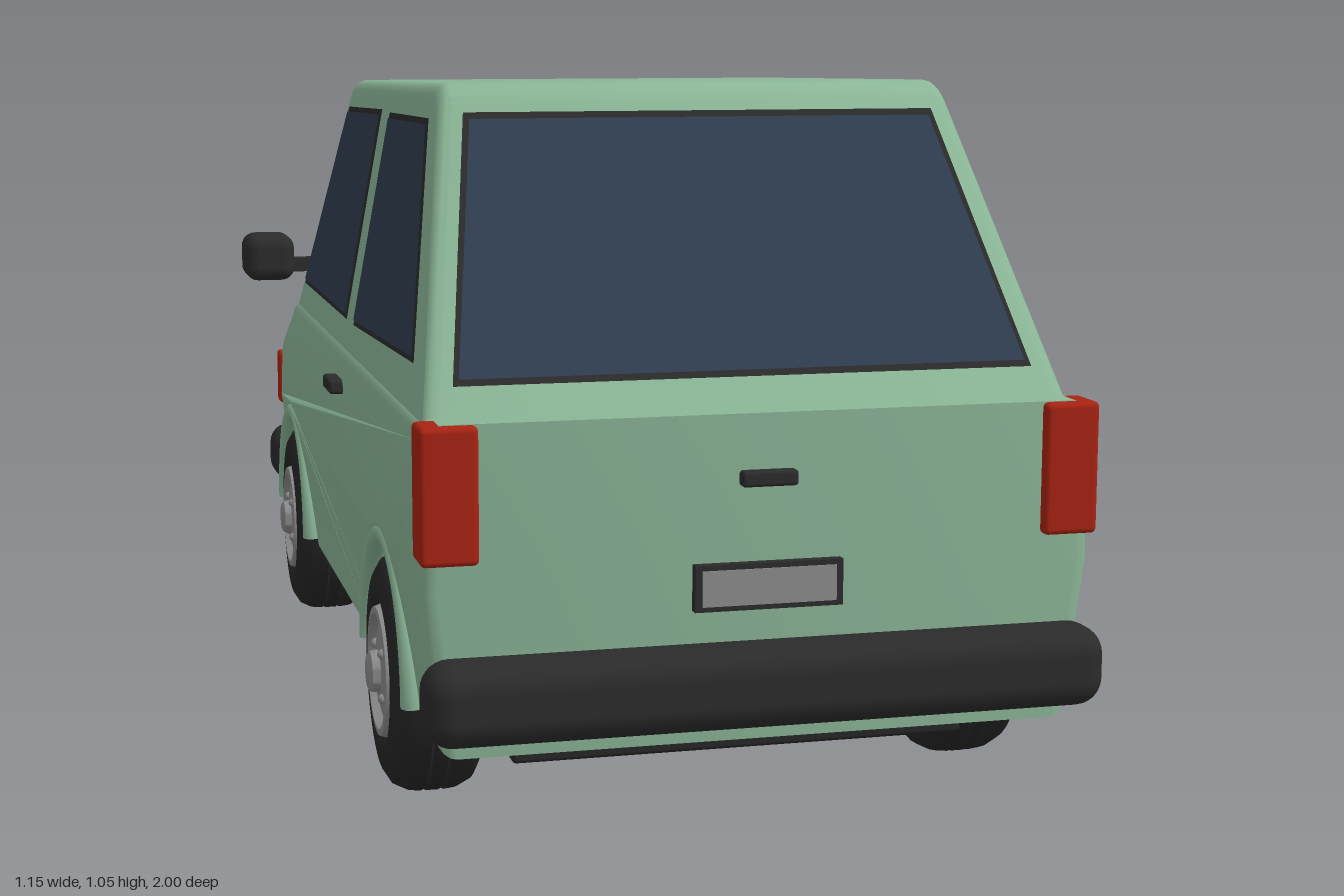
import * as THREE from 'three';
import { toCreasedNormals } from 'three/addons/utils/BufferGeometryUtils.js';
import { RoundedBoxGeometry } from 'three/addons/geometries/RoundedBoxGeometry.js';

const material = (name, color, side = THREE.FrontSide) =>
  Object.assign(new THREE.MeshStandardMaterial({ color, side }), { name });

const WHEEL_Z = [0.555, -0.61];
const WHEEL_Y = 0.18;
const ARCH_R = 0.2;
const lerp = THREE.MathUtils.lerp;

// Half widths of the cabin and the lower body
const cabinWidth = (y) => 0.465 - 0.18 * (y - 0.61);
const bodyWidth = (y, z) => {
  const w = y > 0.38 ? lerp(0.482, 0.473, (y - 0.38) / 0.23) : lerp(0.455, 0.482, (y - 0.15) / 0.23);
  return w * (z < -0.57 ? lerp(1, 0.965, (-0.57 - z) / 0.35) : 1);
};
// Sloping ends of the cabin
const tailSlope = (y) => 0.87 - (y - 0.61) * 0.7;
const screenSlope = (y) => -0.57 + (y - 0.61) * 0.6;

// Side profile (z, y) extruded across x, then narrowed by a width rule
function extrudeAcross(shape, bevel, width) {
  const g = new THREE.ExtrudeGeometry(shape, {
    depth: 2 * (1 - bevel), bevelEnabled: true, bevelThickness: bevel, bevelSize: 0.025,
    bevelOffset: -0.025, bevelSegments: 4, curveSegments: 20,
  });
  g.translate(0, 0, -(1 - bevel)).rotateY(-Math.PI / 2);
  const p = g.attributes.position;
  for (let i = 0; i < p.count; i++) p.setX(i, p.getX(i) * width(p.getY(i), p.getZ(i)));
  return toCreasedNormals(g, 0.55);
}

export function createModel() {
  const car = new THREE.Group();
  car.name = 'car';
  const paint = material('green paint', 0x8bb697);
  const glass = material('dark blue glass', 0x2f3d50, THREE.DoubleSide);
  const trim = material('black trim', 0x2b2b2b, THREE.DoubleSide);
  const rubber = material('tyre rubber', 0x262626);
  const metal = material('grey metal', 0x8c8c8c);
  const red = material('red lens', 0xa82312);

  function add(name, geometry, mat, x = 0, y = 0, z = 0, parent = car) {
    const mesh = new THREE.Mesh(geometry, mat);
    mesh.name = name;
    mesh.position.set(x, y, z);
    parent.add(mesh);
    return mesh;
  }
  const box = (name, mat, w, h, d, x, y, z, r = 0) =>
    add(name, r ? new RoundedBoxGeometry(w, h, d, 4, r) : new THREE.BoxGeometry(w, h, d), mat, x, y, z);

  // Lower body with open wheel arches
  const body = new THREE.Shape();
  body.moveTo(-0.92, 0.15);
  for (const z of [WHEEL_Z[1], WHEEL_Z[0]]) {
    body.lineTo(z - ARCH_R, 0.15);
    body.absarc(z, WHEEL_Y, ARCH_R, Math.PI, 0, true);
    body.lineTo(z + ARCH_R, 0.15);
  }
  for (const [z, y] of [[0.92, 0.15], [0.93, 0.38], [0.93, 0.61], [-0.57, 0.61], [-0.9, 0.5], [-0.92, 0.475], [-0.92, 0.38]])
    body.lineTo(z, y);
  add('lowerBody', extrudeAcross(body, 0.05, bodyWidth), paint);

  // Cabin
  const cabin = new THREE.Shape();
  cabin.moveTo(screenSlope(0.57), 0.57);
  cabin.lineTo(tailSlope(0.57), 0.57);
  cabin.lineTo(tailSlope(1.017), 1.017);
  cabin.quadraticCurveTo(tailSlope(1.048), 1.048, 0.53, 1.048);
  cabin.lineTo(-0.28, 1.032);
  cabin.quadraticCurveTo(-0.317, 1.032, screenSlope(1.0), 1.0);
  add('cabin', extrudeAcross(cabin, 0.05, cabinWidth), paint);

  // Windows: a black seal with a slightly smaller pane on top
  function addWindow(name, corners, place) {
    const us = corners.map((c) => c[0]), vs = corners.map((c) => c[1]);
    const mid = (a) => (Math.max(...a) + Math.min(...a)) / 2;
    const size = (a) => Math.max(...a) - Math.min(...a);
    const group = new THREE.Group();
    group.name = name;
    car.add(group);
    [['seal', 0, 0.003, trim], ['pane', 0.009, 0.006, glass]].forEach(([part, inset, lift, mat]) => {
      const su = 1 - (2 * inset) / size(us), sv = 1 - (2 * inset) / size(vs);
      const pts = corners.map(([u, v]) =>
        place(mid(us) + (u - mid(us)) * su, mid(vs) + (v - mid(vs)) * sv, lift));
      const g = new THREE.BufferGeometry();
      g.setAttribute('position', new THREE.Float32BufferAttribute(pts.flat(), 3));
      g.setIndex([0, 1, 2, 0, 2, 3]);
      g.computeVertexNormals();
      add(part, g, mat, 0, 0, 0, group);
    });
  }
  addWindow('rearWindow', [[-0.42, 0.648], [0.42, 0.648], [0.357, 1.007], [-0.357, 1.007]],
    (x, y, o) => [x, y, tailSlope(y) + o]);
  addWindow('windshield', [[0.415, 0.63], [-0.415, 0.63], [-0.357, 0.993], [0.357, 0.993]],
    (x, y, o) => [x, y, screenSlope(y) - o]);

  // Parts on both sides
  for (const s of [1, -1]) {
    const order = (pts) => (s > 0 ? pts : [...pts].reverse());
    const place = (z, y, o) => [s * (cabinWidth(y) + o), y, z];
    addWindow('rearSideWindow', order([[0.75, 0.668], [0.165, 0.65], [0.18, 0.992], [0.545, 0.997]]), place);
    addWindow('frontSideWindow', order([[0.085, 0.65], [-0.49, 0.65], [-0.285, 0.985], [0.097, 0.994]]), place);

    box('doorHandle', trim, 0.03, 0.024, 0.085, s * 0.477, 0.537, 0.043, 0.006);
    box('mirrorStem', trim, 0.08, 0.025, 0.03, s * 0.465, 0.687, -0.475);
    box('mirror', trim, 0.09, 0.084, 0.105, s * 0.532, 0.704, -0.467, 0.024);

    box('tailLight', red, 0.08, 0.188, 0.07, s * 0.443, 0.515, 0.911, 0.008);
    box('indicator', red, 0.045, 0.105, 0.04, s * 0.447, 0.412, -0.92, 0.006);
    box('headlightFrame', trim, 0.158, 0.115, 0.02, s * 0.326, 0.412, -0.921);
    box('headlight', metal, 0.138, 0.096, 0.02, s * 0.326, 0.412, -0.926, 0.006);
    const wiper = box('wiper', trim, 0.21, 0.012, 0.014, s * 0.18 - 0.01, 0.622, -0.576);
    wiper.rotation.z = 0.02;
  }

  // Grille with slats
  box('grille', trim, 0.4, 0.115, 0.02, 0, 0.405, -0.92);
  for (let i = 0; i < 5; i++) box('grilleSlat', trim, 0.375, 0.009, 0.012, 0, 0.365 + i * 0.02, -0.932);

  // Tailgate fittings
  box('tailgateHandle', trim, 0.08, 0.022, 0.03, 0, 0.521, 0.932, 0.005);
  box('plateFrame', trim, 0.212, 0.065, 0.025, 0, 0.372, 0.932);
  box('plate', metal, 0.192, 0.05, 0.008, 0, 0.372, 0.943);

  // Bumpers
  box('rearBumper', trim, 0.97, 0.115, 0.1, 0, 0.237, 0.95, 0.04);
  box('frontBumper', trim, 0.97, 0.112, 0.108, 0, 0.25, -0.946, 0.04);

  // Floor pan, also closing the inside of the wheel wells
  box('floorPan', rubber, 0.67, 0.05, 1.63, 0, 0.13, 0.005, 0.006);
  for (const z of WHEEL_Z) box('wheelWell', rubber, 0.67, 0.24, 0.41, 0, 0.27, z);

  // Wheels: lathed tyre and rim turned so the axle lies on x
  const lathe = (pts) => toCreasedNormals(
    new THREE.LatheGeometry(pts.map(([r, h]) => new THREE.Vector2(r, h)), 40).rotateZ(-Math.PI / 2), 0.6);
  const tyre = lathe([[0.09, -0.065], [0.15, -0.065], [0.168, -0.055], [0.178, -0.035], [0.18, -0.017],
    [0.176, -0.013], [0.18, -0.009], [0.18, 0.009], [0.176, 0.013], [0.18, 0.017], [0.178, 0.035],
    [0.168, 0.055], [0.15, 0.066], [0.115, 0.07], [0.098, 0.06], [0.09, 0.03]]);
  const rim = lathe([[0.0, -0.06], [0.1, -0.06], [0.1, 0.06], [0.096, 0.072], [0.086, 0.073], [0.08, 0.06],
    [0.05, 0.068], [0.032, 0.07], [0.03, 0.082], [0.024, 0.086], [0, 0.086]]);
  const flare = new THREE.TorusGeometry(ARCH_R + 0.006, 0.016, 10, 32, Math.PI).rotateY(Math.PI / 2);
  for (const s of [1, -1]) {
    for (const z of WHEEL_Z) {
      const wheel = new THREE.Group();
      wheel.name = z > 0 ? 'rearWheel' : 'frontWheel';
      wheel.position.set(s * 0.415, WHEEL_Y, z);
      wheel.rotation.y = s > 0 ? 0 : Math.PI;
      car.add(wheel);
      add('tyre', tyre, rubber, 0, 0, 0, wheel);
      add('rim', rim, metal, 0, 0, 0, wheel);
      for (let i = 0; i < 4; i++) {
        const a = (i + 0.5) * Math.PI / 2;
        add('wheelNut', new THREE.SphereGeometry(0.008, 8, 6), metal,
          0.068, Math.cos(a) * 0.048, Math.sin(a) * 0.048, wheel);
      }
      add('archFlare', flare, paint, s * 0.468, WHEEL_Y, z);
    }
  }
  return car;
}
